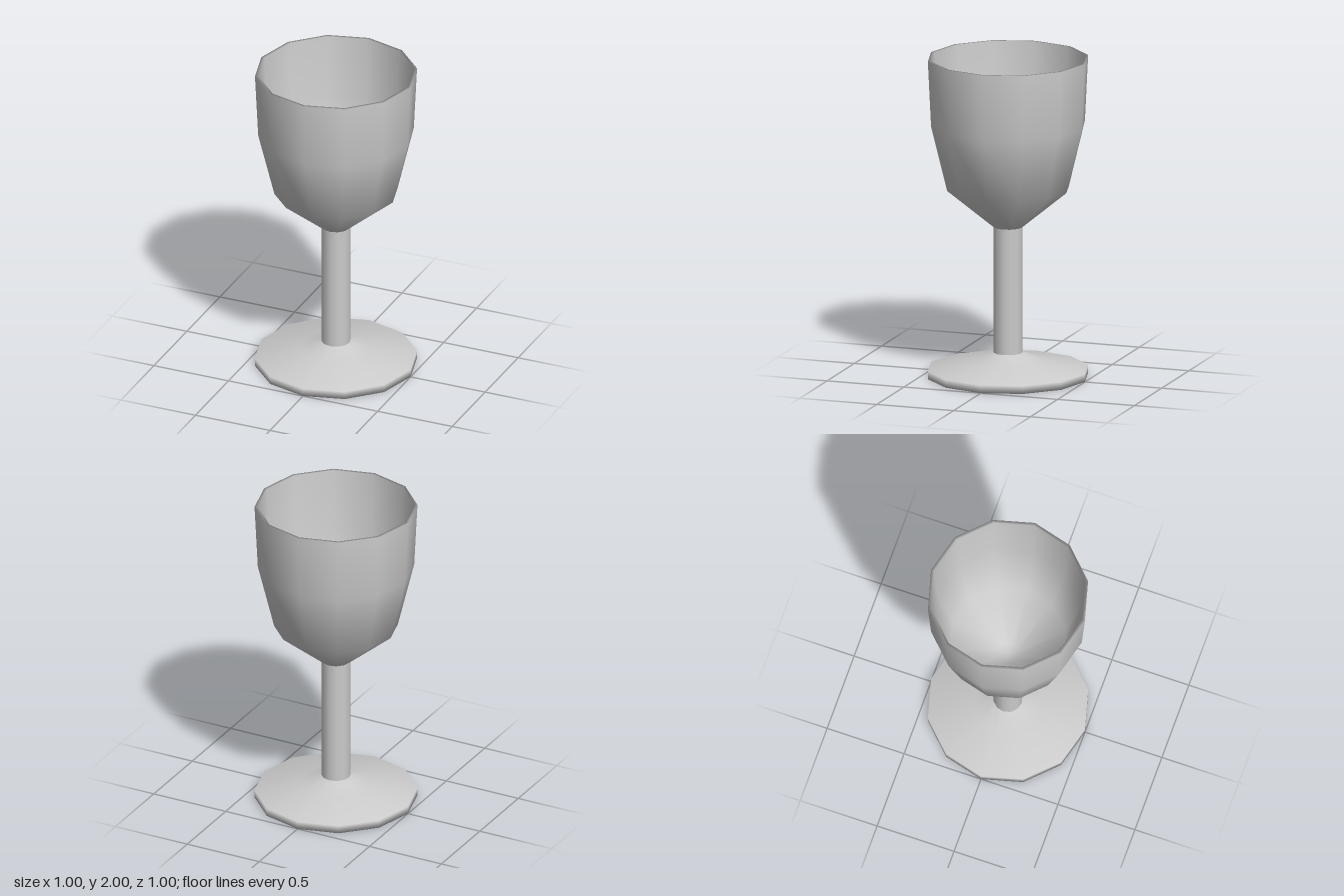
import * as THREE from 'three';

const SIDES = 12;
const STEM_RADIUS = 0.09;
const WALL = 0.02;

export function createModel() {
  const goblet = new THREE.Group();
  goblet.name = 'goblet';
  const material = new THREE.MeshStandardMaterial({ color: 0xcccccc });

  // Turns a profile of [radius, height] pairs around the y axis
  function turn(name, profile) {
    const points = profile.map(([r, y]) => new THREE.Vector2(r, y));
    const mesh = new THREE.Mesh(new THREE.LatheGeometry(points, SIDES), material);
    mesh.name = name;
    goblet.add(mesh);
  }

  // Flat-bottomed foot with a shallow conical top
  turn('foot', [[0, 0], [0.5, 0], [0.5, 0.05], [0.22, 0.1], [STEM_RADIUS, 0.15]]);

  // Straight stem
  turn('stem', [[STEM_RADIUS, 0.15], [STEM_RADIUS, 0.94]]);

  // Thin-walled bowl: up the outside, over the rim and down the inside
  const outside = [[STEM_RADIUS, 0.94], [0.38, 1.18], [0.48, 1.59], [0.5, 2]];
  const inside = [[0.5 - WALL, 2], [0.48 - WALL, 1.59], [0.38 - WALL, 1.19], [STEM_RADIUS - WALL, 0.96], [0, 0.96]];
  turn('bowl', [...outside, ...inside]);

  return goblet;
}
